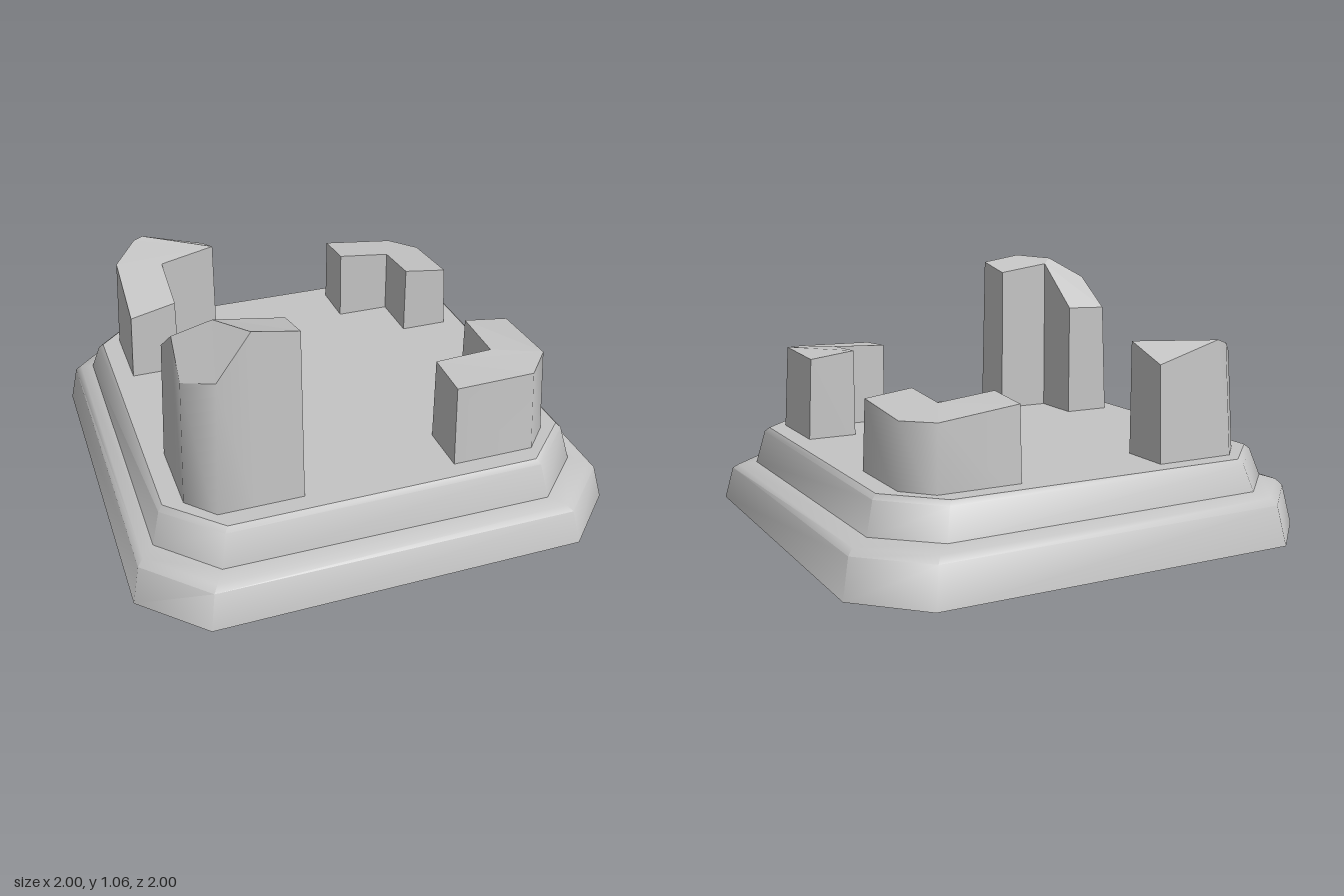
import * as THREE from 'three';
import { mergeGeometries, toCreasedNormals } from 'three/addons/utils/BufferGeometryUtils.js';

const CREASE = THREE.MathUtils.degToRad(50);
const stone = new THREE.MeshStandardMaterial({ color: 0xc4c4c4, side: THREE.DoubleSide });
stone.name = 'grey stone';

// Fans convex polygons of [x, y, z] corners into triangles
function polygons(polys, flip = false) {
  const pos = [];
  for (const poly of polys) {
    const p = flip ? [...poly].reverse() : poly;
    for (let i = 1; i < p.length - 1; i++) pos.push(...p[0], ...p[i], ...p[i + 1]);
  }
  const geometry = new THREE.BufferGeometry();
  geometry.setAttribute('position', new THREE.Float32BufferAttribute(pos, 3));
  geometry.computeVertexNormals();
  return geometry;
}

function addMesh(group, name, geometry) {
  const mesh = new THREE.Mesh(geometry, stone);
  mesh.name = name;
  group.add(mesh);
}

// Square ring with cut corners; tilt leans it slightly
function octagon([s, y, tilt = 0, dx = 0]) {
  const c = s * 0.76;
  return [[s, c], [s, -c], [c, -s], [-c, -s], [-s, -c], [-s, c], [-c, s], [c, s]]
    .map(([x, z]) => [x + dx, y - tilt * (0.6 * x + z), z]);
}

// Hollow two-step base shell, open below
const BASE = [
  [1, 0], [0.968, 0.15, 0.008], [0.945, 0.172, 0.012],
  [0.885, 0.186, 0.014, -0.01], [0.85, 0.312, 0, -0.01], [0.832, 0.33, 0, -0.01],
];
function buildBase(group) {
  const rings = BASE.map(octagon);
  const walls = [];
  for (let r = 0; r < rings.length - 1; r++) {
    for (let i = 0; i < 8; i++) {
      const j = (i + 1) % 8;
      walls.push([rings[r][i], rings[r][j], rings[r + 1][j], rings[r + 1][i]]);
    }
  }
  addMesh(group, 'steppedBase', toCreasedNormals(polygons(walls), CREASE));
  addMesh(group, 'basePlate', polygons([rings[rings.length - 1]]));
}

// Broken L-shaped corner pillar. Points are [u, v, height], mirrored by sx and sz;
// the first `rim` points are the outline, any others lie inside the top.
function buildPillar(group, { name, sx, sz, rim, points, faces }) {
  const place = ([u, v, h], y) => {
    const lean = 0.045 * (y - 0.33);
    const a = u > 0.6 ? u - lean : u;
    const b = v > 0.6 ? v - lean : v;
    return [sx * a - 0.01, y, sz * b];
  };
  const top = points.map((p) => place(p, p[2]));
  const foot = points.map((p) => place(p, 0.255));
  const flip = sx * sz > 0;
  const walls = [];
  for (let i = 0; i < rim; i++) {
    const j = (i + 1) % rim;
    walls.push([foot[j], top[j], top[i], foot[i]]);
  }
  const sides = toCreasedNormals(polygons(walls, flip), CREASE);
  const cap = polygons(faces.map((f) => f.map((i) => top[i])), flip);
  addMesh(group, name, mergeGeometries([sides, cap]));
}

// Plan of the plain L, given seven corner heights
const PLAN = [[0.31, 0.545], [0.545, 0.545], [0.545, 0.31], [0.753, 0.31], [0.753, 0.645], [0.65, 0.758], [0.31, 0.758]];
const ell = (heights) => PLAN.map(([u, v], i) => [u, v, heights[i]]);

const PILLARS = [
  {
    name: 'frontLeftPillar', sx: 1, sz: 1, rim: 7,
    points: ell([0.68, 0.69, 0.7, 0.675, 0.688, 0.675, 0.67]),
    faces: [[1, 2, 3, 4], [1, 4, 5, 6, 0]],
  },
  {
    name: 'backLeftPillar', sx: 1, sz: -1, rim: 7,
    points: ell([0.642, 0.616, 0.635, 0.61, 0.583, 0.586, 0.624]),
    faces: [[1, 2, 3, 4], [1, 4, 5, 6, 0]],
  },
  {
    // One long slope, with a ridge falling to the back
    name: 'backRightPillar', sx: -1, sz: -1, rim: 8,
    points: [...ell([0.79, 0.74, 0.66, 0.616, 0.73, 0.785, 0.72]).slice(0, 6),
      [0.59, 0.758, 0.8], [0.31, 0.758, 0.72]],
    faces: [[1, 2, 3, 4], [1, 4, 5, 6, 0], [0, 6, 7]],
  },
  {
    // Tall pillar with a sloping arm and a chipped outer corner
    name: 'frontRightPillar', sx: -1, sz: 1, rim: 9,
    points: [
      [0.31, 0.545, 0.99], [0.545, 0.545, 1.025], [0.545, 0.31, 0.83], [0.753, 0.31, 0.825],
      [0.753, 0.49, 0.96], [0.753, 0.645, 0.84], [0.65, 0.758, 0.88],
      [0.49, 0.758, 1.06], [0.31, 0.758, 1.03], [0.59, 0.58, 1.05],
    ],
    faces: [[1, 2, 3, 4, 9], [9, 4, 5, 6, 7], [1, 9, 7, 8, 0]],
  },
];

export function createModel() {
  const model = new THREE.Group();
  model.name = 'ruinedPlatform';
  buildBase(model);
  PILLARS.forEach((pillar) => buildPillar(model, pillar));
  return model;
}
